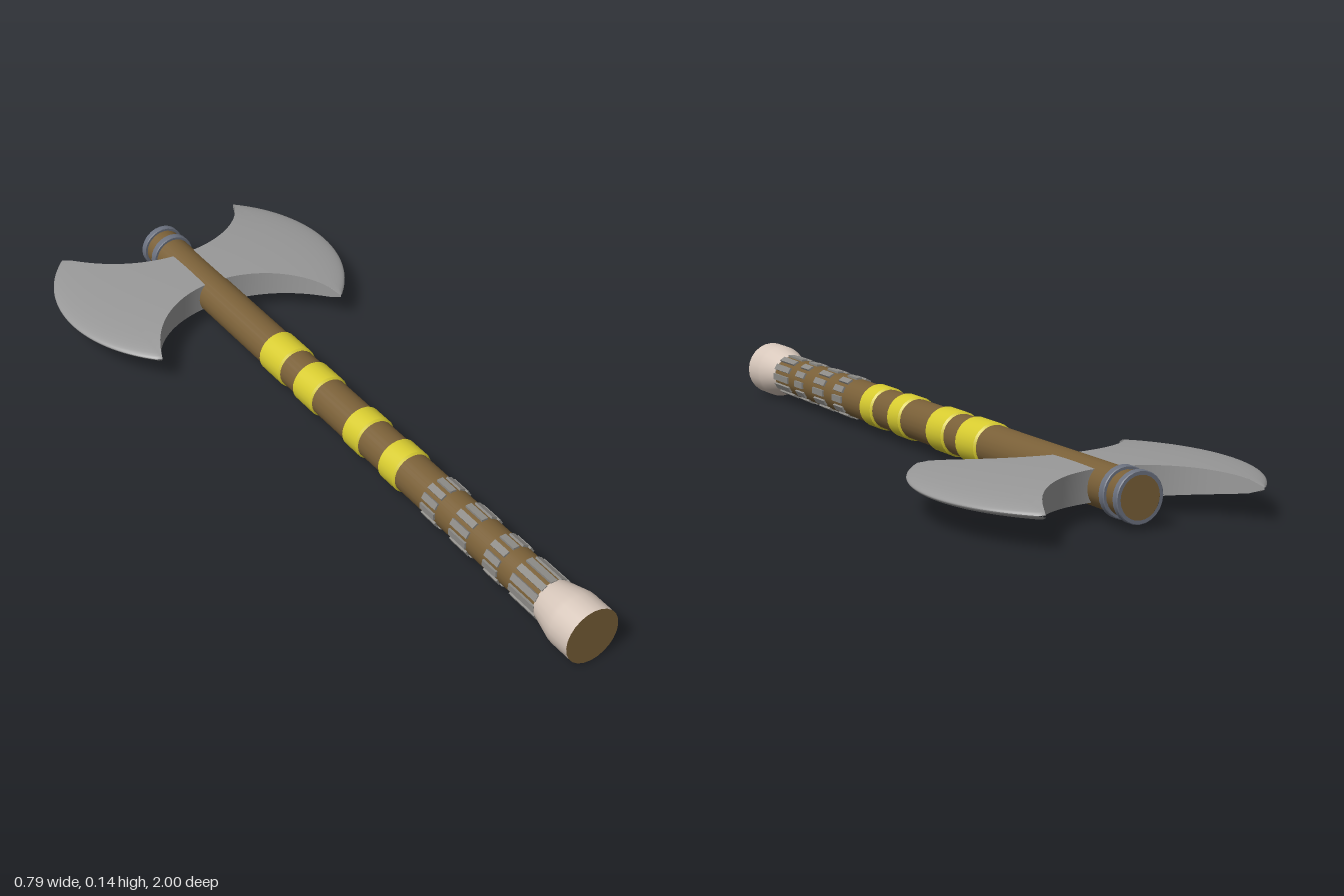
import * as THREE from 'three';
import { mergeGeometries, toCreasedNormals } from 'three/addons/utils/BufferGeometryUtils.js';

const SIDES = 24;
const AXIS_Y = 0.073;

const paint = (color) => new THREE.MeshStandardMaterial({ color });
const wood = paint(0x7a6038);
const yellow = paint(0xd8cc30);
const steel = paint(0x999999);
const slatGrey = paint(0x8c8a86);
const ringGrey = paint(0x6c7280);
const bone = paint(0xd8c8bc);

function add(parent, name, geometry, material) {
  const mesh = new THREE.Mesh(geometry, material);
  mesh.name = name;
  parent.add(mesh);
  return mesh;
}

// Solid of revolution around the z axis from [radius, z] pairs, z rising.
function turned(profile) {
  const points = profile.map(([r, z]) => new THREE.Vector2(r, z));
  const geometry = new THREE.LatheGeometry(points, SIDES).rotateX(Math.PI / 2);
  return toCreasedNormals(geometry, 0.6);
}

// Band with bevelled edges that wraps the shaft.
function band(z0, z1, r, bevel, inner = 0.045) {
  return turned([[inner, z0], [r - bevel, z0], [r, z0 + bevel], [r, z1 - bevel], [r - bevel, z1], [inner, z1]]);
}

// Grid patch whose vertices follow a rule of (s, t), both from -1 to 1.
function patch(nu, nv, rule) {
  const geometry = new THREE.PlaneGeometry(2, 2, nu, nv);
  const pos = geometry.attributes.position;
  for (let i = 0; i < pos.count; i++) pos.setXYZ(i, ...rule(pos.getX(i), pos.getY(i)));
  geometry.computeVertexNormals();
  return geometry;
}

// Double blade: a flat ellipsoid with a round bite taken out of either end.
function bladeGeometry() {
  const R = 0.397, halfThick = 0.038, tipX = 0.275;
  const biteZ = 0.374, biteR = 0.289;
  const tipAngle = Math.asin(tipX / R);
  const height = (x, z) => halfThick * Math.sqrt(Math.max(0, 1 - (x * x + z * z) / (R * R)));
  const reach = (x) => {
    const rim = Math.sqrt(Math.max(0, R * R - x * x));
    if (Math.abs(x) > biteR) return rim;
    return Math.min(rim, biteZ - Math.sqrt(biteR * biteR - x * x));
  };
  // Even steps up to the tips, then equal angles round the cutting edge
  const across = (s) => {
    const a = Math.abs(s);
    const x = a <= 0.5 ? a * 2 * tipX : R * Math.sin(tipAngle + (a * 2 - 1) * (Math.PI / 2 - tipAngle));
    return Math.sign(s) * x;
  };
  const cheek = (side) => patch(80, 24, (s, t) => {
    const x = across(s);
    const z = -side * reach(x) * Math.sin(t * Math.PI / 2);
    return [x, side * height(x, z), z];
  });
  const biteWall = (side) => patch(40, 2, (s, t) => {
    const x = s * tipX, z = side * reach(x);
    return [x, side * t * height(x, z), z];
  });
  return mergeGeometries([cheek(1), cheek(-1), biteWall(1), biteWall(-1)]);
}

export function createModel() {
  const model = new THREE.Group();
  model.name = 'doubleAxe';
  const axe = new THREE.Group();
  axe.name = 'axe';
  axe.position.y = AXIS_Y;
  model.add(axe);

  // Shaft
  add(axe, 'shaft', turned([[0, -0.93], [0.052, -0.93], [0.052, 0.9], [0, 0.9]]), wood);

  // Flared pommel with a wooden end face
  add(axe, 'pommel', turned([[0.045, 0.857], [0.054, 0.857], [0.0715, 0.925], [0.0725, 0.94], [0.0725, 1]]), bone);
  const endFace = add(axe, 'pommelEnd', new THREE.CircleGeometry(0.0725, SIDES), wood);
  endFace.rotation.z = Math.PI / 2;
  endFace.position.z = 1;

  // Yellow wraps
  for (const [z0, z1] of [[-0.312, -0.212], [-0.15, -0.06], [0.08, 0.15], [0.238, 0.31]]) {
    add(axe, 'yellowWrap', band(z0, z1, 0.057, 0.006), yellow);
  }

  // Rings at the head end
  add(axe, 'endRing', band(-0.933, -0.915, 0.06, 0.002, 0.05), ringGrey);
  add(axe, 'neckRing', band(-0.88, -0.86, 0.06, 0.002), ringGrey);

  // Grip: four rows of slats set round the shaft
  const slatCount = 12;
  for (const [z0, z1] of [[0.42, 0.475], [0.535, 0.6], [0.668, 0.72], [0.767, 0.86]]) {
    const slats = [];
    for (let i = 0; i < slatCount; i++) {
      const slat = new THREE.BoxGeometry(0.012, 0.017, z1 - z0);
      slat.translate(0.0505, 0, (z0 + z1) / 2);
      slats.push(slat.rotateZ(i / slatCount * Math.PI * 2));
    }
    add(axe, 'gripSlats', mergeGeometries(slats), slatGrey);
  }

  // Blade
  const blade = add(axe, 'blade', bladeGeometry(), steel);
  blade.position.set(0, 0.004, -0.715);

  return model;
}
